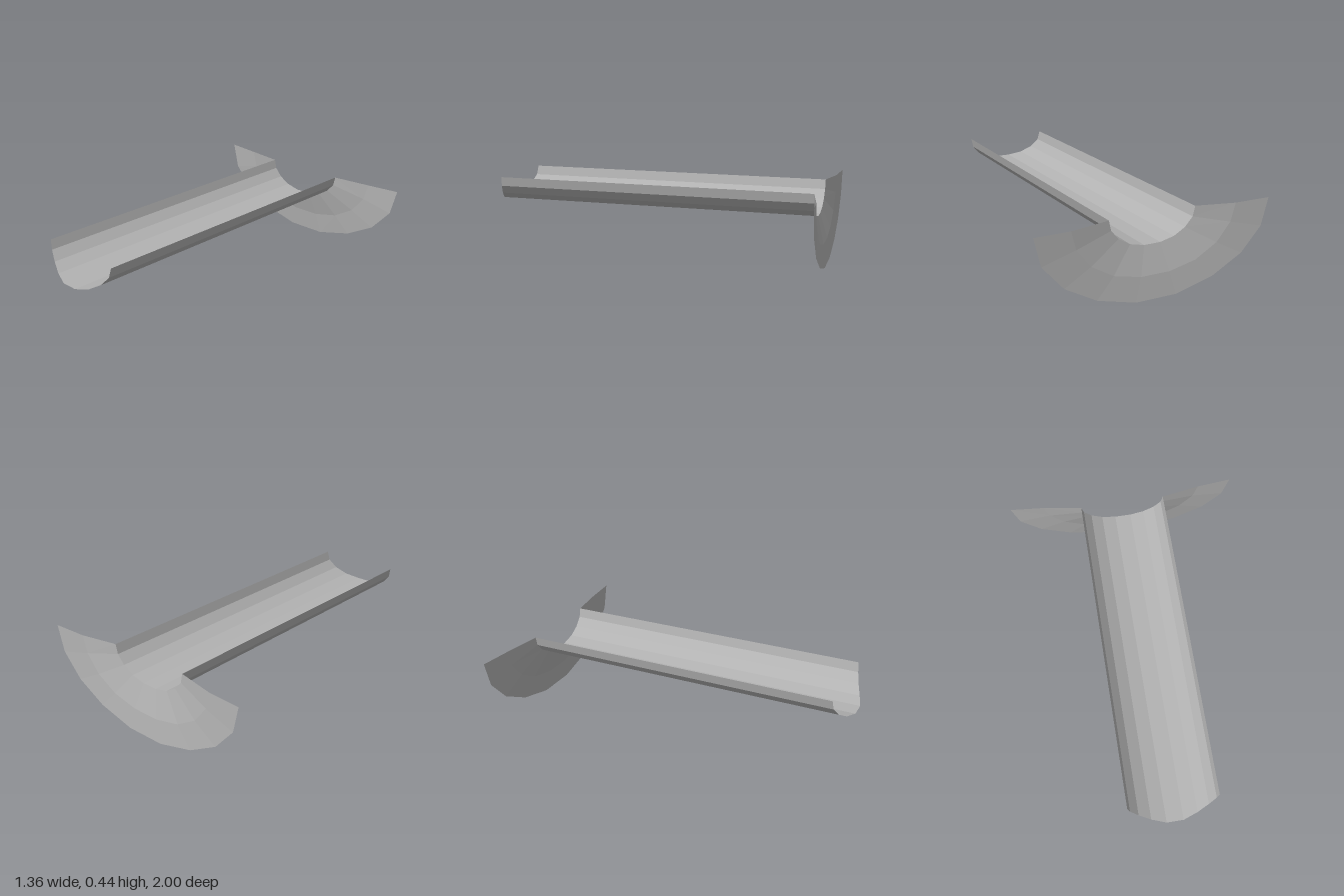
import * as THREE from 'three';

const steel = new THREE.MeshStandardMaterial({ color: 0xb2b2b2, side: THREE.DoubleSide, flatShading: true });
steel.name = 'plain grey';

// Mirror a half profile (rim to bottom, on +x) into a full left-right section
function mirrored(half) {
  const left = half.map(([x, y, z]) => [x, y, z]);
  const right = half.map(([x, y, z]) => [-x, y, z]).reverse();
  return [...left, ...right];
}

// Skin a series of equally long sections with flat facets
function loft(name, sections) {
  const positions = [];
  for (let s = 0; s < sections.length - 1; s++) {
    const a = sections[s], b = sections[s + 1];
    for (let i = 0; i < a.length - 1; i++) {
      positions.push(...a[i], ...a[i + 1], ...b[i], ...a[i + 1], ...b[i + 1], ...b[i]);
    }
  }
  const geometry = new THREE.BufferGeometry();
  geometry.setAttribute('position', new THREE.Float32BufferAttribute(positions, 3));
  geometry.computeVertexNormals();
  const mesh = new THREE.Mesh(geometry, steel);
  mesh.name = name;
  return mesh;
}

export function createModel() {
  const group = new THREE.Group();
  group.name = 'troughWithFlange';

  // Front lip of the trough: the bottom reaches further forward than the rims
  const lip = mirrored([
    [0.253, 0.44, 0.92], [0.24, 0.385, 0.926], [0.196, 0.335, 0.945],
    [0.13, 0.297, 0.973], [0.048, 0.278, 1],
  ]);
  // The same section where the trough meets the flange
  const neck = lip.map(([x, y]) => [x, y, -0.945]);

  // Middle and outer rings of the flared flange
  const middle = mirrored([
    [0.48, 0.435, -0.985], [0.452, 0.335, -0.985], [0.37, 0.235, -0.985],
    [0.243, 0.162, -0.985], [0.085, 0.127, -0.985],
  ]);
  const outer = mirrored([
    [0.682, 0.44, -1], [0.643, 0.288, -1], [0.523, 0.155, -1],
    [0.343, 0.057, -1], [0.12, 0, -1],
  ]);

  group.add(loft('trough', [neck, lip]));
  group.add(loft('flange', [outer, middle, neck]));
  return group;
}
